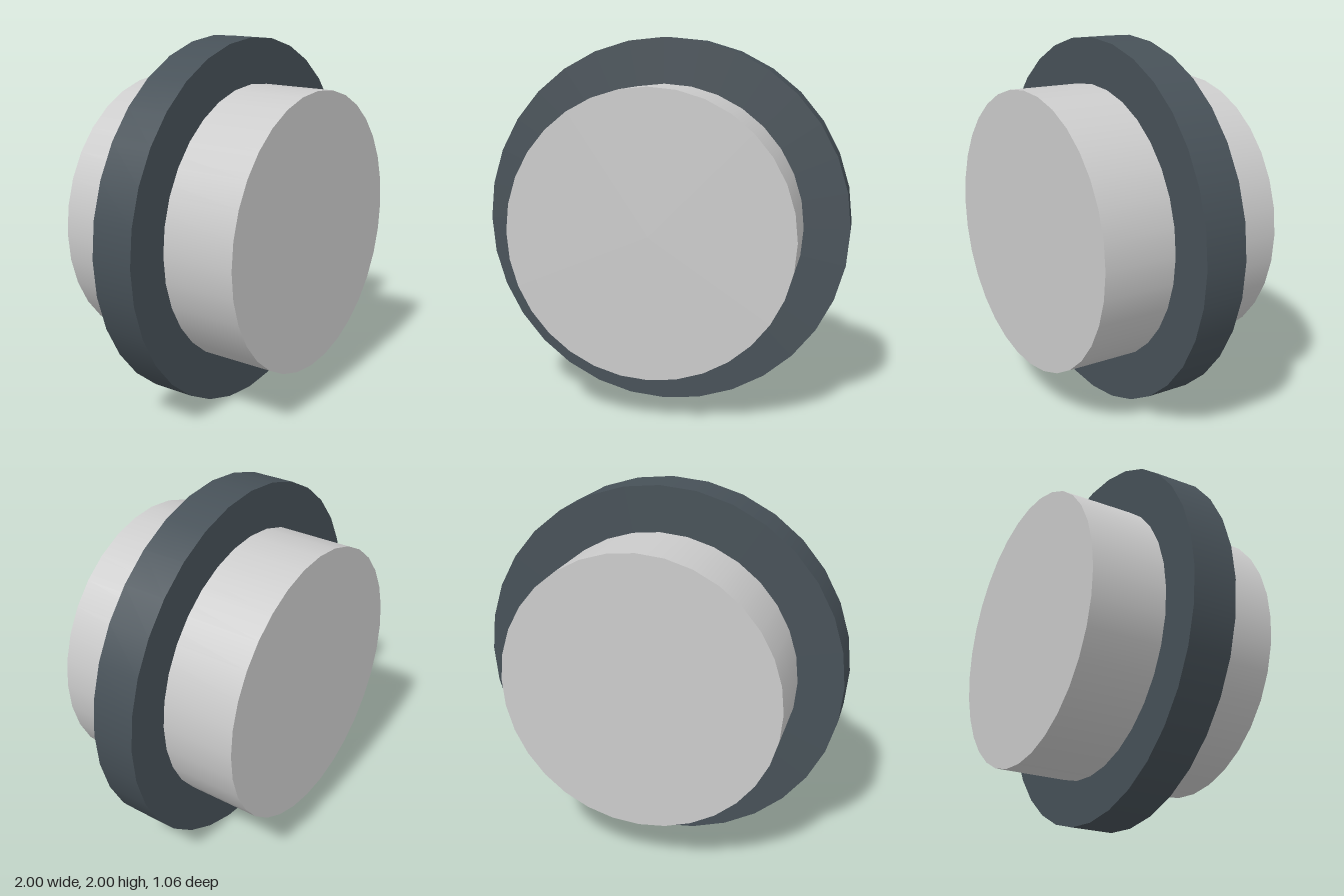
import * as THREE from 'three';

const SIDES = 32;

// Solid disc whose axis lies along z, centred at the wheel's hub height
function disc(name, radius, width, color) {
  const geometry = new THREE.CylinderGeometry(radius, radius, width, SIDES);
  geometry.rotateX(Math.PI / 2);
  const mesh = new THREE.Mesh(geometry, new THREE.MeshStandardMaterial({ color }));
  mesh.name = name;
  mesh.position.y = 1;
  return mesh;
}

export function createModel() {
  const group = new THREE.Group();
  group.name = 'wheel';
  // Wide drum passing through the thin outer rim
  group.add(disc('hub', 0.755, 1.06, 0xcccccc));
  group.add(disc('rim', 1, 0.24, 0x475158));
  return group;
}
